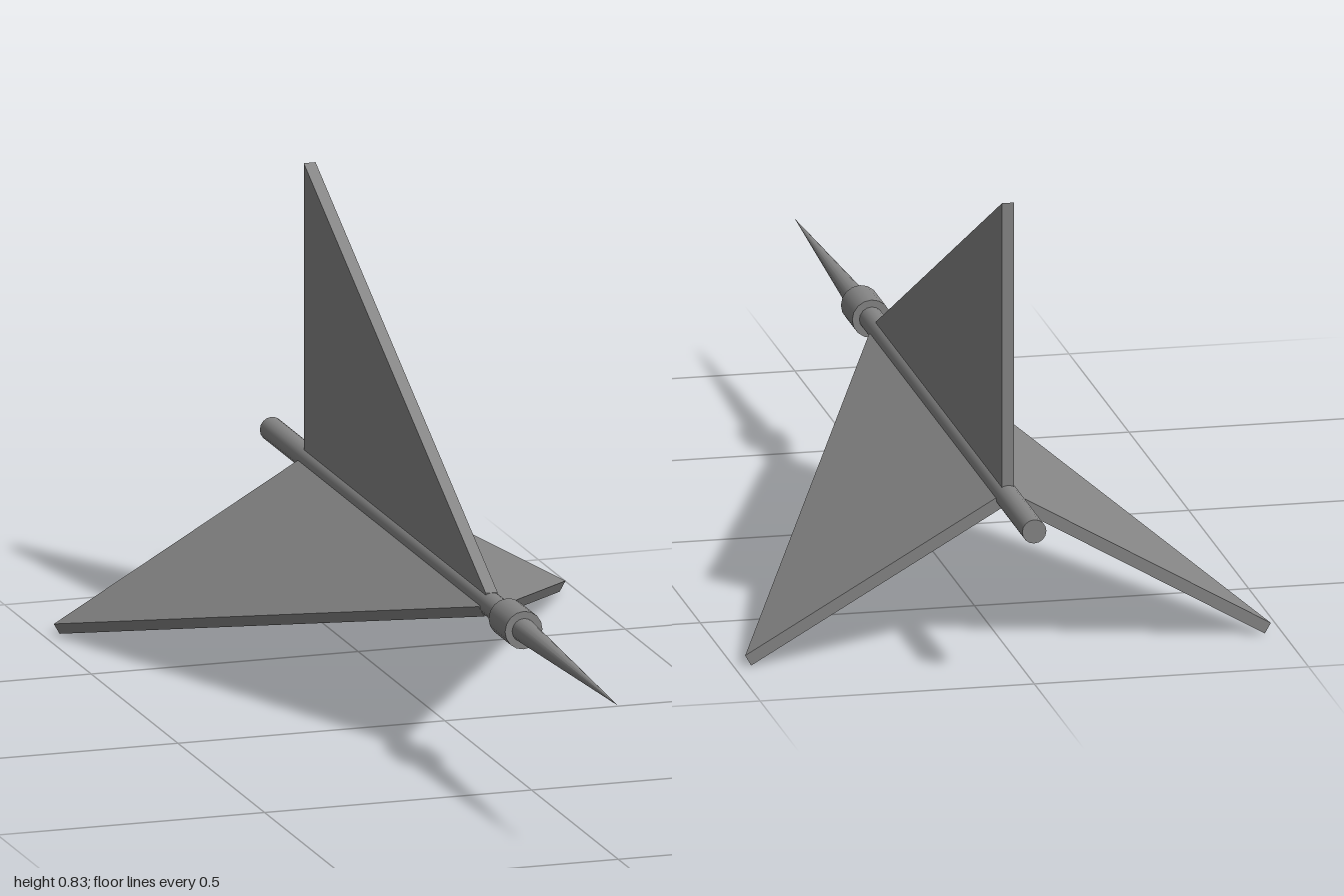
import * as THREE from 'three';

const AXIS_Y = 0.285;

export function createModel() {
  const model = new THREE.Group();
  const material = new THREE.MeshStandardMaterial({ color: 0x868686 });

  const add = (name, geometry) => {
    const mesh = new THREE.Mesh(geometry, material);
    mesh.name = name;
    mesh.position.y = AXIS_Y;
    model.add(mesh);
    return mesh;
  };

  // Round part along z, from the back end to the front end
  const round = (name, zBack, zFront, rBack, rFront) => {
    const length = zFront - zBack;
    const geometry = new THREE.CylinderGeometry(rFront, rBack, length, 16);
    geometry.rotateX(Math.PI / 2).translate(0, 0, (zBack + zFront) / 2);
    add(name, geometry);
  };

  round('shaft', -1, 0.4, 0.022, 0.022);
  round('collar', 0.36, 0.455, 0.035, 0.035);
  round('pointedTip', 0.45, 1, 0.022, 0);

  // Triangular fin: shape x runs along the shaft, shape y outwards
  const thickness = 0.022;
  const outline = new THREE.Shape([
    new THREE.Vector2(0.27, 0),
    new THREE.Vector2(0.27, 0.022),
    new THREE.Vector2(-0.78, 0.547),
    new THREE.Vector2(-0.78, 0),
  ]);
  const fin = new THREE.ExtrudeGeometry(outline, { depth: thickness, bevelEnabled: false });
  fin.translate(0, 0, -thickness / 2).rotateY(-Math.PI / 2);

  // Three fins evenly spaced round the shaft
  ['topFin', 'leftFin', 'rightFin'].forEach((name, i) => {
    add(name, fin).rotation.z = (-i * 2 * Math.PI) / 3;
  });

  return model;
}
